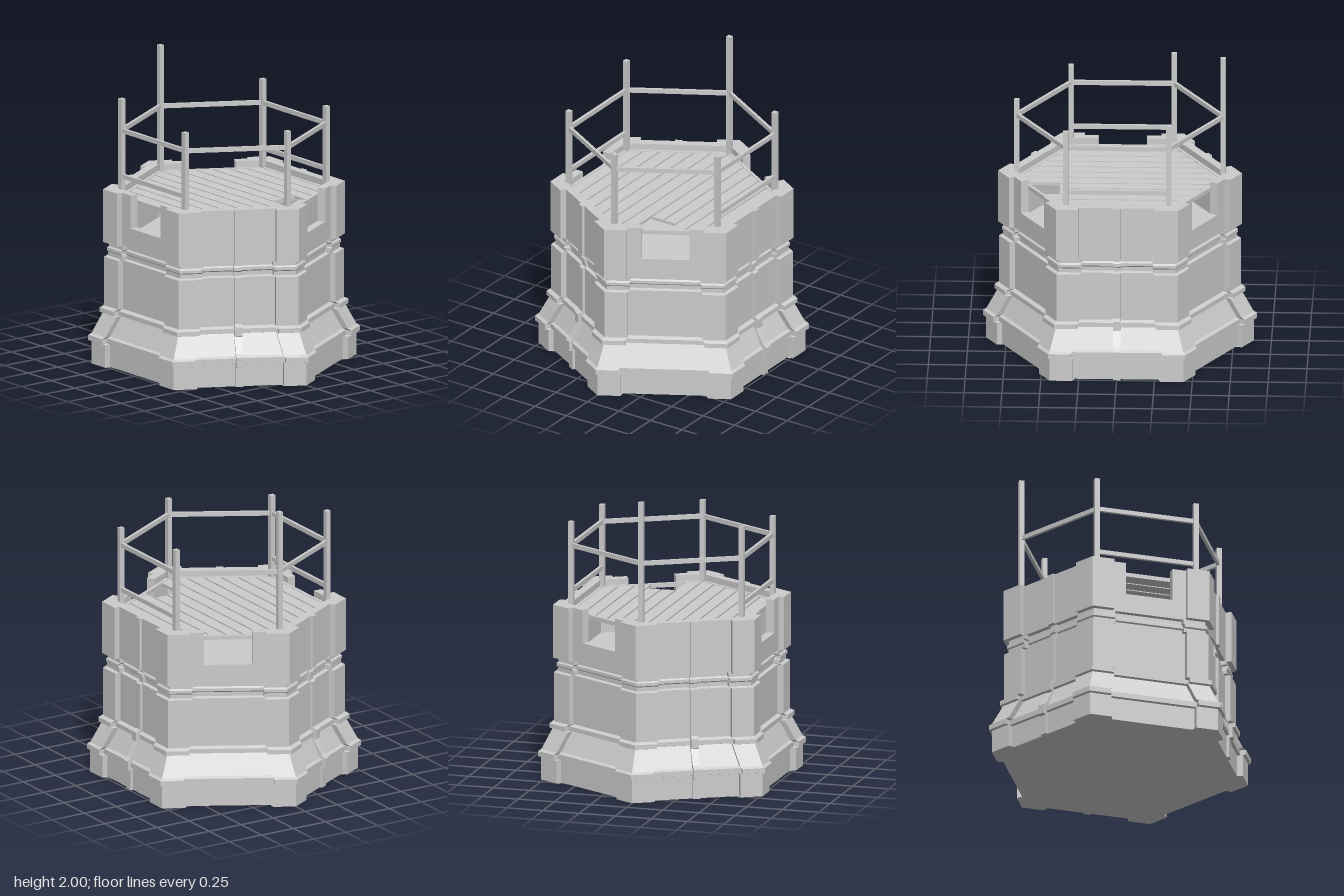
import * as THREE from 'three';

const DEG = Math.PI / 180;
const COS30 = Math.cos(30 * DEG);
const PILLAR = 0.15;   // pillar length along each wall
const RECESS = 0.04;   // wall panels sit this far behind the pillars
const INNER = 0.6;     // apothem of the hollow top
const TOP = 1.185;

const material = new THREE.MeshStandardMaterial({ color: 0xcccccc, flatShading: true });

function add(parent, name, geometry) {
  const mesh = new THREE.Mesh(geometry, material);
  mesh.name = name;
  parent.add(mesh);
  return mesh;
}

// point on a hexagon side: out along the side normal, then along the side
function sidePoint(angle, out, along) {
  const c = Math.cos(angle * DEG), s = Math.sin(angle * DEG);
  return new THREE.Vector2(c * out - s * along, s * out + c * along);
}

const hexCorner = (angle, apothem) => sidePoint(angle, apothem / COS30, 0);

// five plan points of one corner pillar, panel to panel
function pillarPoints(angle, apothem) {
  const end = apothem * Math.tan(30 * DEG) - PILLAR;
  return [
    sidePoint(angle - 30, apothem - RECESS, end),
    sidePoint(angle - 30, apothem, end),
    hexCorner(angle, apothem),
    sidePoint(angle + 30, apothem, -end),
    sidePoint(angle + 30, apothem - RECESS, -end),
  ];
}

const corners = [0, 60, 120, 180, 240, 300];
const outline = (apothem) => corners.flatMap((a) => pillarPoints(a, apothem));
const hexagon = (apothem) => corners.map((a) => hexCorner(a, apothem));

// extrude an x/z plan between two heights
function slab(points, y0, y1, hole) {
  const shape = new THREE.Shape(points);
  if (hole) shape.holes.push(new THREE.Path(hole));
  const g = new THREE.ExtrudeGeometry(shape, { depth: y1 - y0, bevelEnabled: false });
  g.rotateX(Math.PI / 2);
  g.translate(0, y1, 0);
  return g;
}

// skin the pillared outline through [height, apothem] rows and close both ends
function loft(rows) {
  const pos = [], index = [];
  const n = 30;
  rows.forEach(([y, a]) => outline(a).forEach((p) => pos.push(p.x, y, p.y)));
  const bottom = pos.length / 3, top = bottom + 1;
  pos.push(0, rows[0][0], 0, 0, rows[rows.length - 1][0], 0);
  const last = (rows.length - 1) * n;
  for (let i = 0; i < n; i++) {
    const j = (i + 1) % n;
    for (let r = 0; r < last; r += n) {
      index.push(r + i, r + n + i, r + n + j, r + i, r + n + j, r + j);
    }
    index.push(bottom, i, j, top, last + j, last + i);
  }
  const g = new THREE.BufferGeometry();
  g.setAttribute('position', new THREE.Float32BufferAttribute(pos, 3));
  g.setIndex(index);
  g.computeVertexNormals();
  return g;
}

export function createModel() {
  const tower = new THREE.Group();
  tower.name = 'hexagonalTower';

  // plinth, sloped skirt, ledges, wall and neck groove
  add(tower, 'towerBody', loft([
    [0, 0.766], [0.155, 0.766], [0.16, 0.784], [0.195, 0.784], [0.207, 0.765],
    [0.345, 0.70], [0.35, 0.718], [0.38, 0.718], [0.393, 0.692],
    [0.725, 0.692], [0.732, 0.668], [0.76, 0.668], [0.768, 0.676], [0.788, 0.676],
    [0.797, 0.664], [0.825, 0.664],
  ]));

  // parapet: a full ring, then three sections with a notch between each
  const notchY = 0.96, notch = 0.16, a = 0.697;
  add(tower, 'parapetRing', slab(outline(a), 0.825, notchY, hexagon(INNER)));
  for (const side of [90, 210, 330]) {
    const next = side + 120;
    add(tower, 'parapetSection', slab([
      sidePoint(side, a - RECESS, notch),
      ...pillarPoints(side + 30, a),
      ...pillarPoints(side + 90, a),
      sidePoint(next, a - RECESS, -notch),
      sidePoint(next, INNER, -notch),
      hexCorner(side + 90, INNER),
      hexCorner(side + 30, INNER),
      sidePoint(side, INNER, notch),
    ], notchY, TOP));
  }

  // vertical straps on the sides without a notch, swelling over the ledges
  const strap = new THREE.Shape([
    [0.62, 0], [0.745, 0], [0.745, 0.135], [0.768, 0.142], [0.768, 0.205], [0.742, 0.225],
    [0.682, 0.325], [0.702, 0.332], [0.702, 0.395], [0.672, 0.41],
    [0.672, 0.725], [0.648, 0.732], [0.648, 0.76], [0.656, 0.768], [0.656, 0.79],
    [0.644, 0.8], [0.644, 0.825], [0.675, 0.825], [0.675, TOP], [0.62, TOP],
  ].map(([r, y]) => new THREE.Vector2(r, y)));
  const strapGeometry = new THREE.ExtrudeGeometry(strap, { depth: 0.05, bevelEnabled: false });
  strapGeometry.translate(0, 0, -0.025);
  for (const side of [30, 150, 270]) {
    add(tower, 'wallStrap', strapGeometry).rotation.y = -side * DEG;
  }

  // plank floor with its rim and bearers; two planks are broken short
  const deck = new THREE.Group();
  deck.name = 'deck';
  tower.add(deck);
  add(deck, 'deckRim', slab(hexagon(INNER), 1.115, 1.143, hexagon(0.578)));
  const pitch = 0.098, gap = 0.012;
  for (let i = -6; i < 6; i++) {
    const z0 = i * pitch + gap / 2, z1 = (i + 1) * pitch - gap / 2;
    const reach = (z) => 0.672 - Math.abs(z) / Math.sqrt(3);
    const broken = i === -3 || i === -2;
    const right = (z) => (broken ? 0.39 : reach(z));
    add(deck, 'plank', slab([
      new THREE.Vector2(-reach(z0), z0), new THREE.Vector2(right(z0), z0),
      new THREE.Vector2(right(z1), z1), new THREE.Vector2(-reach(z1), z1),
    ], 1.12, 1.14));
  }
  for (const x of [-0.34, 0.34]) {
    add(deck, 'bearer', new THREE.BoxGeometry(0.02, 0.02, 1.16)).position.set(x, 1.11, 0);
  }

  // corner posts of uneven height, joined by rails
  const railing = new THREE.Group();
  railing.name = 'railing';
  tower.add(railing);
  const heights = [1.695, 1.71, 1.8, 2.0, 1.745, 1.7];
  const posts = corners.map((angle) => hexCorner(angle, 0.681 * COS30));
  const rail = (p, q, y) => {
    const bar = add(railing, 'rail', new THREE.BoxGeometry(p.distanceTo(q), 0.03, 0.02));
    bar.position.set((p.x + q.x) / 2, y, (p.y + q.y) / 2);
    bar.rotation.y = -Math.atan2(q.y - p.y, q.x - p.x);
  };
  posts.forEach((p, i) => {
    const h = heights[i] - 1.1;
    add(railing, 'post', new THREE.BoxGeometry(0.034, h, 0.034)).position.set(p.x, 1.1 + h / 2, p.y);
    const q = posts[(i + 1) % 6];
    rail(p, q, 1.583);
    if (i === 1 || i === 4) rail(p, q, 1.272); // low rails front and back
  });

  return tower;
}
